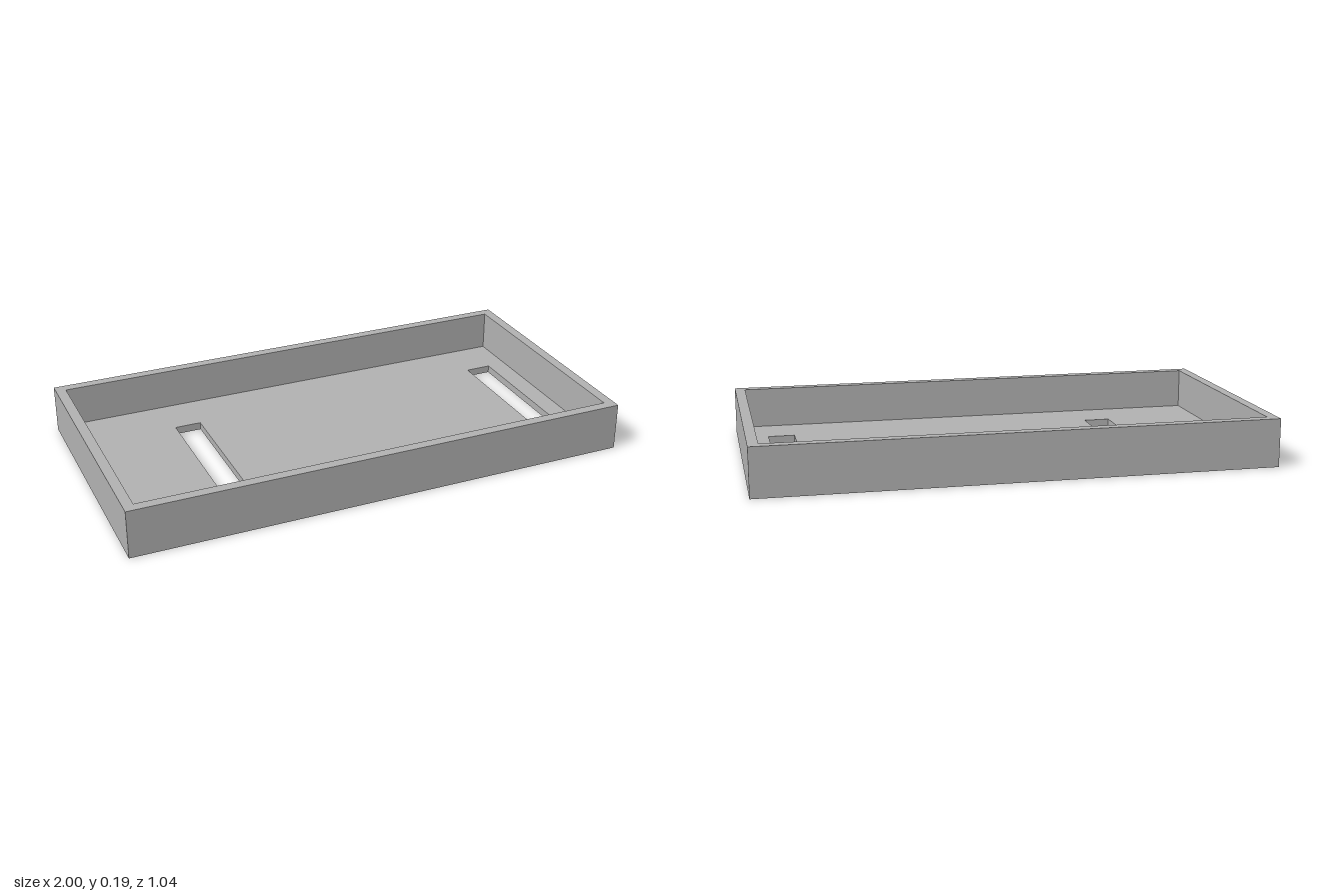
import * as THREE from 'three';

const WIDTH = 2, DEPTH = 1.04, HEIGHT = 0.19;
const WALL = 0.04, FLOOR = 0.03;

// Trace a rectangle centred on (cx, 0)
function rect(path, w, d, cx = 0) {
  path.moveTo(cx - w / 2, -d / 2);
  path.lineTo(cx + w / 2, -d / 2);
  path.lineTo(cx + w / 2, d / 2);
  path.lineTo(cx - w / 2, d / 2);
  path.closePath();
  return path;
}

// Rectangular slab with holes, lying flat with its underside at y
function slab(name, holes, height, y, material) {
  const shape = rect(new THREE.Shape(), WIDTH, DEPTH);
  shape.holes.push(...holes);
  const geometry = new THREE.ExtrudeGeometry(shape, { depth: height, bevelEnabled: false });
  geometry.rotateX(-Math.PI / 2).translate(0, y, 0);
  const mesh = new THREE.Mesh(geometry, material);
  mesh.name = name;
  return mesh;
}

export function createModel() {
  const group = new THREE.Group();
  group.name = 'tray';
  const grey = new THREE.MeshStandardMaterial({ color: 0xb2b2b2 });
  grey.name = 'grey';

  // Floor with two slots, placed off centre
  const slots = [-0.517, 0.828].map((x) => rect(new THREE.Path(), 0.105, 0.575, x));
  group.add(slab('floor', slots, FLOOR, 0, grey));

  // Rim wall around the floor
  const opening = rect(new THREE.Path(), WIDTH - 2 * WALL, DEPTH - 2 * WALL);
  group.add(slab('walls', [opening], HEIGHT - FLOOR, FLOOR, grey));

  return group;
}
